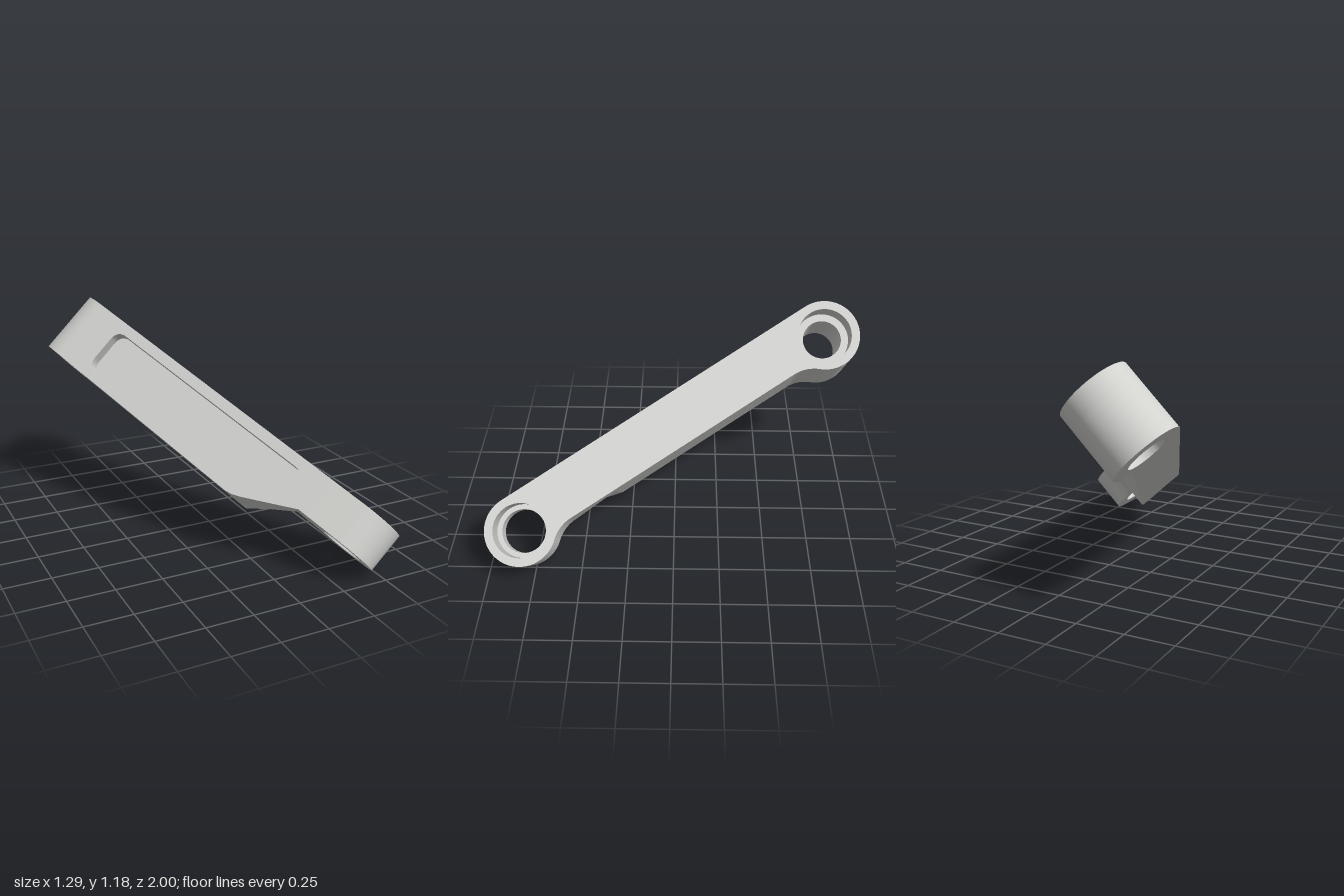
import * as THREE from 'three';
import { toCreasedNormals } from 'three/addons/utils/BufferGeometryUtils.js';
import { ConvexGeometry } from 'three/addons/geometries/ConvexGeometry.js';

// Local frame: x along the arm, y across it, z along the pin axes.
const R = 0.19, SIDE = 0.09, CUT = 0.04, FLOOR = -0.128; // eye radius, inner side, side cut, pocket floor
const LOW = 0.187, MID = 0.346, HIGH = 0.567; // heights along the pin axis
const START = new THREE.Vector2(-0.91, -0.81), END = new THREE.Vector2(0.159, 0.81);
const LENGTH = START.distanceTo(END);

export function createModel() {
  const metal = new THREE.MeshStandardMaterial({ color: 0xd2d2cf });
  metal.name = 'light grey metal';
  const model = new THREE.Group();
  const arm = new THREE.Group();
  arm.name = 'linkArm';
  model.add(arm);

  const add = (name, geometry) => {
    const mesh = new THREE.Mesh(toCreasedNormals(geometry, 0.5), metal);
    mesh.name = name;
    arm.add(mesh);
  };
  const extrude = (shape, depth) =>
    new THREE.ExtrudeGeometry(shape, { depth, bevelEnabled: false, curveSegments: 32 });
  const polygon = (pts) => new THREE.Shape(pts.map(([x, y]) => new THREE.Vector2(x, y)));
  const hull = (pts) => new ConvexGeometry(pts.map((p) => new THREE.Vector3(...p)));

  // Closed path with every corner rounded by its own amount
  const roundedPath = (pts) => {
    const path = new THREE.Path();
    const v = pts.map(([x, y]) => new THREE.Vector2(x, y));
    v.forEach((c, i) => {
      const toward = (o) => c.clone().add(o.clone().sub(c).setLength(pts[i][2]));
      const a = toward(v[(i + v.length - 1) % v.length]);
      const b = toward(v[(i + 1) % v.length]);
      if (i) path.lineTo(a.x, a.y); else path.moveTo(a.x, a.y);
      path.quadraticCurveTo(c.x, c.y, b.x, b.y);
    });
    path.closePath();
    return path;
  };

  // Round eye, blended into the arm on its inner side
  const eyeOutline = () => {
    const f = 0.2, cy = SIDE + f, cx = Math.sqrt((R + f) ** 2 - cy ** 2);
    const a = Math.atan2(cy, cx);
    const s = new THREE.Shape();
    s.moveTo(R, -R);
    s.lineTo(0, -R);
    s.absarc(0, 0, R, -Math.PI / 2, a, true);
    s.absarc(cx, cy, f, a + Math.PI, Math.PI * 1.5, false);
    s.lineTo(R, SIDE);
    return s.getPoints(32);
  };
  const eye = (name, mirrored, bottom, ledge, boreRadius) => {
    const cx = mirrored ? LENGTH : 0;
    const layer = (label, radius, z0, z1) => {
      const pts = eyeOutline().map((p) => new THREE.Vector2(mirrored ? LENGTH - p.x : p.x, p.y));
      // Keep the outline counter-clockwise so the bore faces inward
      const shape = new THREE.Shape(mirrored ? pts : pts.reverse());
      const hole = new THREE.Path();
      hole.absarc(cx, 0, radius, 0, Math.PI * 2, true);
      shape.holes.push(hole);
      add(name + label, extrude(shape, z1 - z0).translate(0, 0, z0));
    };
    layer('Lower', boreRadius, bottom, ledge);
    layer('Counterbore', 0.145, ledge, HIGH);
  };
  eye('largeEye', false, LOW, HIGH - 0.11, 0.105);
  eye('smallEye', true, MID, HIGH - 0.127, 0.118);

  // Profiles seen from the side are extruded across the arm
  const across = (shape, from, to) =>
    extrude(shape, to - from).rotateX(Math.PI / 2).translate(0, to, 0);

  // Outer wall with the rounded pocket opening
  const ramp = [[1.33, LOW], [1.37, 0.193], [1.42, 0.212], [1.63, 0.312], [1.70, MID]];
  const last = LENGTH - R;
  const wall = polygon([[R, LOW], ...ramp, [last, MID], [last, HIGH], [R, HIGH]]);
  wall.holes.push(roundedPath([
    [0.2, 0.24, 0.07], [1.285, 0.24, 0.06], [1.61, 0.398, 0.07],
    [1.61, 0.507, 0.07], [0.2, 0.507, 0.07],
  ]));
  add('pocketWall', across(wall, -R, FLOOR));

  // Solid web behind the pocket
  add('web', across(polygon([
    [R, LOW], [1.25, LOW], [1.25, MID], [last, MID], [last, HIGH], [R, HIGH],
  ]), FLOOR, CUT));

  // Inner side, cut back above the slope
  const corner = [1.385, LOW], apex = [1.41, 0.484], edge = [1.627, 0.394];
  const foot = [1.68, MID], valley = [1.61, MID];
  add('innerSide', across(polygon([
    [R, LOW], corner, apex, edge, foot, [last, MID], [last, HIGH], [R, HIGH],
  ]), CUT, SIDE));

  // Two facets filling the cut down to its valley
  const facet = (name, outer) => add(name, hull([
    ...outer.map(([x, z]) => [x, SIDE, z]),
    ...[...outer, valley].map(([x, z]) => [x, CUT, z]),
    [valley[0], CUT + 0.004, valley[1]],
  ]));
  facet('lowerFacet', [apex, corner]);
  facet('upperFacet', [apex, edge, foot]);

  // Sloping underside
  add('rampWedge', hull([
    ...[[1.25, LOW], [1.25, MID], ...ramp].map(([x, z]) => [x, FLOOR, z]),
    ...[[1.25, LOW], [1.25, MID], corner, valley].map(([x, z]) => [x, CUT, z]),
  ]));

  // Lay the arm along its sloping line
  const u = new THREE.Vector3(1, -1, 0).normalize();
  const z = new THREE.Vector3(0, 0, 1);
  const pin = new THREE.Vector3(1, 1, 0).normalize();
  const d = END.clone().sub(START).normalize();
  const inPlane = (a, b) => u.clone().multiplyScalar(a).addScaledVector(z, b);
  arm.quaternion.setFromRotationMatrix(
    new THREE.Matrix4().makeBasis(inPlane(d.x, d.y), inPlane(d.y, -d.x), pin));
  arm.position.copy(inPlane(START.x, START.y));
  return model;
}
